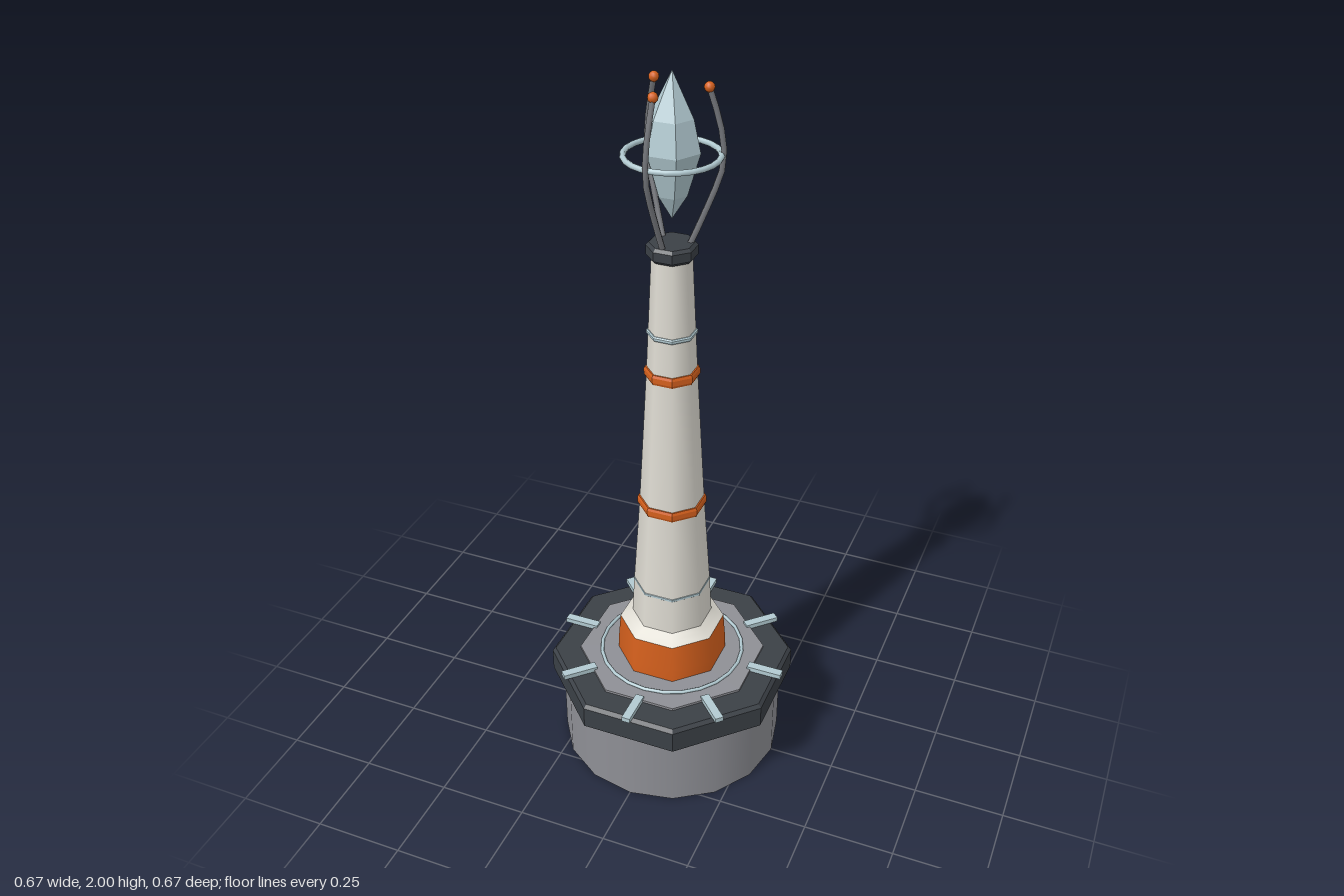
import * as THREE from 'three';

const paint = (name, color) => {
  const m = new THREE.MeshStandardMaterial({ color });
  m.name = name;
  return m;
};

export function createModel() {
  const model = new THREE.Group();
  model.name = 'beaconTower';
  const stone = paint('stone grey', 0x8e8f95);
  const dark = paint('dark slate', 0x3b4046);
  const cream = paint('cream', 0xdedbd2);
  const orange = paint('orange', 0xd5601d);
  const ice = paint('pale blue', 0xb2cad1);
  const steel = paint('steel grey', 0x75777c);

  const add = (name, geometry, material, parent = model) => {
    const mesh = new THREE.Mesh(geometry, material);
    mesh.name = name;
    parent.add(mesh);
    return mesh;
  };
  const flat = (geometry) => {
    const g = geometry.toNonIndexed();
    g.computeVertexNormals();
    return g;
  };
  // Octagonal turning; radii are given to the middle of the flats, which face the axes
  const octagon = (profile) => new THREE.LatheGeometry(
    profile.map(([r, y]) => new THREE.Vector2(r / Math.cos(Math.PI / 8), y)), 8, Math.PI / 8);
  const hoop = (name, radius, tube, y, sides) => {
    const mesh = add(name, new THREE.TorusGeometry(radius, tube, 8, sides), ice);
    mesh.rotation.x = Math.PI / 2;
    mesh.position.y = y;
  };

  // Round base drum with an octagonal collar and deck
  add('baseDrum', new THREE.CylinderGeometry(0.316, 0.316, 0.25, 16).translate(0, 0.125, 0), stone);
  add('collar', flat(octagon([[0.28, 0.205], [0.312, 0.205], [0.321, 0.214], [0.321, 0.278],
    [0.312, 0.288], [0, 0.288]])), dark);
  add('deck', flat(octagon([[0.245, 0.28], [0.245, 0.295], [0, 0.295]])), stone);
  hoop('deckRing', 0.203, 0.005, 0.298, 24);

  // Spokes around the deck
  for (let i = 0; i < 8; i++) {
    const spoke = add('deckSpoke', new THREE.BoxGeometry(0.1, 0.014, 0.024).translate(0.285, 0.295, 0), ice);
    spoke.rotation.y = i * Math.PI / 4;
  }

  // Skirt and tapering tower
  add('skirt', octagon([[0.143, 0.29], [0.142, 0.33], [0.136, 0.41]]), orange);
  add('towerFoot', octagon([[0.136, 0.41], [0.118, 0.422], [0.104, 0.435]]), cream);
  add('tower', octagon([[0.104, 0.43], [0.098, 0.545], [0.081, 0.815], [0.061, 1.215], [0.047, 1.55]]), cream);

  // Bands round the tower
  const band = (name, r, y, h, material) => add(name, flat(octagon([
    [r - 0.012, y - h / 2], [r - 0.003, y - h / 2], [r, y - h / 4],
    [r, y + h / 4], [r - 0.003, y + h / 2], [r - 0.012, y + h / 2]])), material);
  band('lowerBand', 0.087, 0.815, 0.028, orange);
  band('upperBand', 0.067, 1.215, 0.028, orange);
  band('lowerTrim', 0.099, 0.545, 0.013, ice);
  band('upperTrim', 0.061, 1.33, 0.013, ice);

  // Cap
  add('cap', flat(octagon([[0, 1.535], [0.053, 1.535], [0.06, 1.543], [0.06, 1.567],
    [0.053, 1.575], [0, 1.575]])), dark);

  // Cage of three bowed prongs with round tips
  const path = new THREE.CatmullRomCurve3([[0.042, 1.565], [0.082, 1.66], [0.121, 1.775],
    [0.115, 1.86], [0.086, 1.96]].map(([x, y]) => new THREE.Vector3(x, y, 0)));
  for (let i = 0; i < 3; i++) {
    const prong = new THREE.Group();
    prong.name = 'prong';
    prong.rotation.y = THREE.MathUtils.degToRad(22 + i * 120);
    add('prongRod', new THREE.TubeGeometry(path, 8, 0.008, 6), steel, prong);
    add('prongTip', new THREE.SphereGeometry(0.013, 10, 8).translate(0.086, 1.96, 0), orange, prong);
    model.add(prong);
  }
  hoop('cageRing', 0.117, 0.0075, 1.797, 24);

  // Faceted crystal
  const facets = [[0, 1.635], [0.04, 1.7], [0.073, 1.81], [0.055, 1.89], [0, 2]]
    .map(([r, y]) => new THREE.Vector2(r, y));
  add('crystal', flat(new THREE.LatheGeometry(facets, 6, Math.PI / 6)), ice);

  return model;
}
